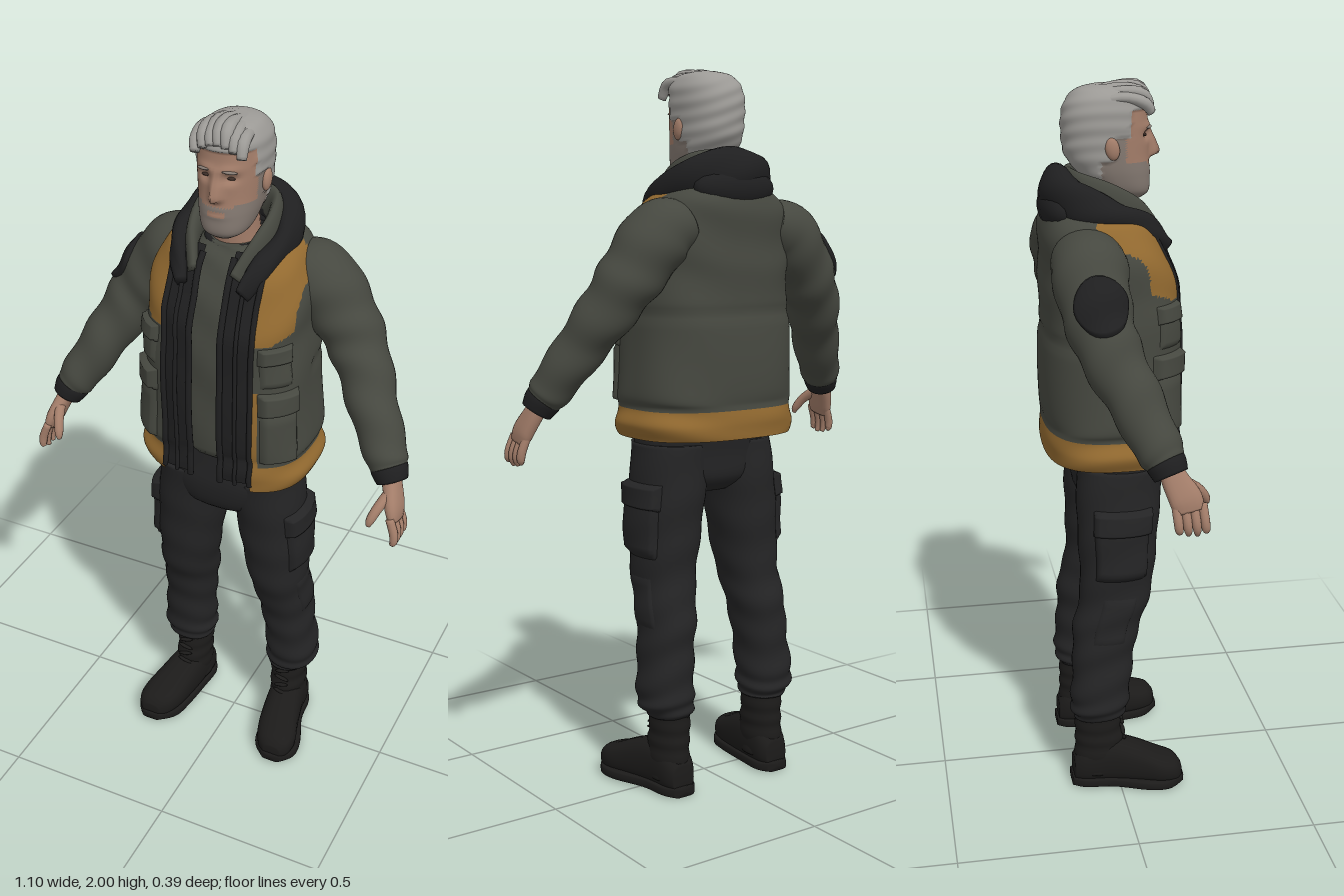
import * as THREE from 'three';
import { mergeVertices } from 'three/addons/utils/BufferGeometryUtils.js';

const mat = (name, color, side = THREE.FrontSide) => {
  const m = new THREE.MeshStandardMaterial({ color, side });
  m.name = name;
  return m;
};
const M = {
  skin: mat('skin', 0xa47e6a), hair: mat('grey hair', 0x9c9a96), beard: mat('stubble', 0x857a72),
  olive: mat('olive cloth', 0x464840, THREE.DoubleSide), gold: mat('ochre cloth', 0x936a30, THREE.DoubleSide),
  black: mat('black cloth', 0x1f1f20, THREE.DoubleSide), pants: mat('charcoal cloth', 0x242425),
  boot: mat('boot leather', 0x1c1b1a), dark: mat('dark brown', 0x3a2c26),
};
const V = (x, y, z) => new THREE.Vector3(x, y, z);
const clamp = THREE.MathUtils.clamp;
const TAU = Math.PI * 2, UP = V(0, 1, 0), FWD = V(0, 0, 1);
const pw = (v, n) => Math.sign(v) * Math.abs(v) ** (2 / n);
const bell = (v, w) => Math.exp(-((v / w) ** 2));

// Surface through cross-sections [x, y, z, halfWidth, halfDepth]
function surf(rows, { n = 2, axis = null, ref = FWD, fold = null, warp = null } = {}) {
  const row = (t) => {
    const s = clamp(t, 0, 1) * (rows.length - 1), i = Math.min(Math.floor(s), rows.length - 2), f = s - i;
    const r = (k) => rows[clamp(k, 0, rows.length - 1)];
    return rows[0].map((_, c) => {
      const [a, b, d, e] = [r(i - 1)[c], r(i)[c], r(i + 1)[c], r(i + 2)[c]];
      return b + 0.5 * f * (d - a + f * (2 * a - 5 * b + 4 * d - e + f * (3 * (b - d) + e - a)));
    });
  };
  const S = (u, t, off = 0, k = 1) => {
    const [x, y, z, ra, rb] = row(t), lo = row(t - 0.01), hi = row(t + 0.01);
    const T = axis ? axis.clone() : V(hi[0] - lo[0], hi[1] - lo[1], hi[2] - lo[2]).normalize();
    const e2 = ref.clone().addScaledVector(T, -ref.dot(T)).normalize();
    const e1 = T.clone().cross(e2);
    const o = off + (fold ? fold(u, t) : 0);
    const p = V(x, y, z).addScaledVector(e1, k * Math.max(ra + o, 0.001) * pw(Math.sin(u), n))
      .addScaledVector(e2, k * Math.max(rb + o, 0.001) * pw(Math.cos(u), n));
    if (warp) warp(p);
    return p;
  };
  S.row = row;
  S.at = (y) => { // parameter at a given height, for rising surfaces
    let a = 0, b = 1;
    for (let i = 0; i < 24; i++) { const m = (a + b) / 2; if (row(m)[1] < y) a = m; else b = m; }
    return a;
  };
  S.n = n;
  return S;
}

// Grid over f(a, b), both 0..1
function sheet(f, nu, nt) {
  const pos = [], idx = [];
  for (let j = 0; j <= nt; j++) for (let i = 0; i <= nu; i++) pos.push(...f(i / nu, j / nt, j).toArray());
  for (let j = 0; j < nt; j++) for (let i = 0; i < nu; i++) {
    const a = j * (nu + 1) + i, b = a + nu + 1;
    idx.push(a, a + 1, b + 1, a, b + 1, b);
  }
  let g = new THREE.BufferGeometry();
  g.setAttribute('position', new THREE.Float32BufferAttribute(pos, 3));
  g.setIndex(idx);
  g = mergeVertices(g, 1e-5);
  g.computeVertexNormals();
  return g;
}
const loft = (S, nu = 24, nt = 20) => sheet((a, b, j) =>
  S((a % 1) * TAU, (j - 1) / (nt - 2), 0, j === 0 || j === nt ? 0 : 1), nu, nt);
// Puffed panel lying on a surface
const panel = (S, u0, u1, t0, t1, off) => sheet((a, b) => {
  const edge = Math.min(1, 8 * Math.min(a, 1 - a, b, 1 - b));
  return S(u0 + a * (u1 - u0), t0 + b * (t1 - t0), -0.003 + (off + 0.003) * edge);
}, 16, 16);

// Sorts faces into material groups by a rule on their centres
function paint(g, rule, count) {
  const p = g.attributes.position, src = g.index.array, bins = Array.from({ length: count }, () => []);
  for (let i = 0; i < src.length; i += 3) {
    const c = V(0, 0, 0);
    for (let k = 0; k < 3; k++) c.add(V(0, 0, 0).fromBufferAttribute(p, src[i + k]));
    bins[rule(c.divideScalar(3))].push(src[i], src[i + 1], src[i + 2]);
  }
  g.setIndex(bins.flat());
  let start = 0;
  bins.forEach((b, k) => { g.addGroup(start, b.length, k); start += b.length; });
  return g;
}

export function createModel() {
  const root = new THREE.Group();
  root.name = 'man';
  const add = (name, geo, material) => {
    const m = new THREE.Mesh(geo, material);
    m.name = name;
    root.add(m);
    return m;
  };
  const ball = (name, material, p, s) => {
    const m = add(name, new THREE.SphereGeometry(1, 20, 14), material);
    m.position.set(...p); m.scale.set(...s);
    return m;
  };

  // Head with face relief, stubble and hair
  const isHair = (p) => p.y > 1.93 || (p.y > 1.86 ? p.z < 0.045 : p.y > 1.8 ? p.z < 0 : p.y > 1.745 && p.z < -0.03);
  const head = surf([[0, 1.695, 0.058, 0.03, 0.03], [0, 1.715, 0.042, 0.06, 0.066], [0, 1.76, 0.017, 0.076, 0.092],
    [0, 1.81, -0.002, 0.083, 0.108], [0, 1.86, -0.006, 0.086, 0.112], [0, 1.91, -0.008, 0.087, 0.11],
    [0, 1.95, -0.004, 0.081, 0.102], [0, 1.978, 0, 0.062, 0.078], [0, 1.99, 0.004, 0.03, 0.04]], {
    n: 2.3, axis: UP, warp: (p) => {
      if (isHair(p)) {
        const k = 1 + 0.06 + 0.012 * Math.sin(p.y * 160 + p.x * 60);
        p.x *= k; p.z *= k;
      } else if (p.z > 0.03) {
        const { x, y } = p, ax = Math.abs(x);
        if (y < 1.89) p.z += 0.032 * bell(x, 0.014) * (y > 1.81 ? clamp((1.89 - y) / 0.07, 0, 1) : bell(y - 1.81, 0.009));
        p.z += 0.006 * bell(y - 1.885, 0.01) * bell(ax - 0.03, 0.03) - 0.013 * bell(y - 1.862, 0.012) * bell(ax - 0.034, 0.018);
        p.z += 0.005 * bell(y - 1.768, 0.012) * bell(x, 0.03) - 0.006 * bell(y - 1.769, 0.004) * bell(x, 0.025);
      }
    } });
  add('head', paint(loft(head, 72, 70), (p) => {
    if (isHair(p)) return 1;
    const lips = Math.abs(p.x) < 0.024 && Math.abs(p.y - 1.768) < 0.007;
    const stubble = p.y < 1.787 || (Math.abs(p.x) > 0.045 && p.y < 1.795) || (p.z < 0.035 && p.y < 1.86);
    return stubble && !lips ? 2 : 0;
  }, 3), [M.skin, M.hair, M.beard]);
  add('neck', loft(surf([[0, 1.6, -0.03, 0.072, 0.075], [0, 1.68, -0.015, 0.062, 0.068], [0, 1.78, 0, 0.06, 0.066]], { axis: UP })), M.skin);
  for (let i = -3; i <= 3; i++) {
    const x = i * 0.021, d = x * x * 6, w = 0.006 * (i % 2);
    add('hairLock', loft(surf([[x + 0.006, 1.945 - d, 0.104, 0.012, 0.012], [x, 1.977 - d + w, 0.082, 0.018, 0.016],
      [x * 0.95 - 0.008, 1.985 - d, 0.02, 0.018, 0.014], [x * 0.9, 1.962 - d, -0.055, 0.016, 0.014],
      [x * 0.8, 1.92 - d, -0.1, 0.01, 0.012]], { ref: UP }), 12, 16), M.hair);
  }
  for (const s of [-1, 1]) {
    ball('ear', M.skin, [s * 0.088, 1.835, -0.004], [0.012, 0.03, 0.019]).rotation.x = -0.2;
    ball('eye', M.dark, [s * 0.034, 1.862, 0.09], [0.012, 0.004, 0.006]);
    ball('eyebrow', M.beard, [s * 0.036, 1.882, 0.102], [0.02, 0.004, 0.006]).rotation.set(0, s * 0.35, -s * 0.08);
  }

  // Shirt and its neckband
  add('shirt', loft(surf([[0, 1.06, 0, 0.17, 0.142], [0, 1.25, 0, 0.17, 0.15], [0, 1.42, 0, 0.165, 0.15],
    [0, 1.55, -0.01, 0.155, 0.138], [0, 1.63, -0.02, 0.115, 0.11], [0, 1.665, -0.02, 0.07, 0.082]],
  { n: 2.4, axis: UP, fold: (u, t) => 0.003 * Math.sin(t * 26 + 2 * Math.sin(3 * u)) }), 40, 36), M.olive);
  const band = add('shirtNeckband', new THREE.TorusGeometry(0.075, 0.01, 10, 32), M.black);
  band.position.set(0, 1.662, -0.018);
  band.rotation.x = Math.PI / 2 + 0.1;

  // Open jacket: outer shell, black lining, zips and pockets
  const coat = surf([[0, 1.0, 0, 0.24, 0.184], [0, 1.04, 0, 0.25, 0.192], [0, 1.085, 0, 0.238, 0.184], [0, 1.13, 0, 0.243, 0.192],
    [0, 1.3, 0, 0.234, 0.189], [0, 1.42, 0, 0.225, 0.187], [0, 1.5, -0.008, 0.224, 0.179], [0, 1.58, -0.024, 0.216, 0.163],
    [0, 1.64, -0.04, 0.185, 0.145], [0, 1.68, -0.05, 0.135, 0.12], [0, 1.71, -0.05, 0.09, 0.1]], {
    n: 2.7, axis: UP,
    fold: (u, t) => 0.0025 * Math.sin(t * 34 + 2 * Math.sin(2 * u + 1)) - 0.005 * bell(t - 0.43, 0.012) * (Math.cos(u) < 0 ? 1 : 0) });
  const openAt = (t, gap) => Math.asin(Math.min(0.95, gap / coat.row(t)[3]) ** (coat.n / 2));
  const shell = (gap, off, t0, t1) => sheet((a, b) => {
    const t = t0 + b * (t1 - t0), u0 = openAt(t, gap);
    return coat(u0 + a * (TAU - 2 * u0), t, off);
  }, 110, 90);
  add('jacket', paint(shell(0.128, 0, 0, 1), (p) => {
    const ax = Math.abs(p.x);
    const hem = p.y < 1.08, yoke = p.y > 1.45 + Math.max(0, ax - 0.17) * 0.6 && p.y < 1.66 && ax < 0.212 && p.z > -0.06;
    const strip = p.x > 0 && p.x < 0.148 && p.y < 1.32 && p.z > 0;
    return hem || yoke || strip ? 1 : 0;
  }, 2), [M.olive, M.gold]);
  add('jacketLining', shell(0.045, -0.007, 0.06, 0.85), M.black);
  for (const s of [-1, 1]) {
    for (const [gap, r] of [[0.045, 0.009], [0.088, 0.006], [0.128, 0.008]]) {
      const pts = [];
      for (let i = 0; i <= 14; i++) { const t = 0.05 + i * 0.055; pts.push(coat(s * openAt(t, gap), t, -0.003)); }
      add('zipEdge', new THREE.TubeGeometry(new THREE.CatmullRomCurve3(pts), 50, r, 8), M.black);
    }
    const side = (y0, y1, off, name, u0 = 0.56, u1 = 1.22) => add(name,
      panel(coat, s > 0 ? u0 : -u1, s > 0 ? u1 : -u0, coat.at(y0), coat.at(y1), off), M.olive);
    side(1.095, 1.27, 0.011, 'lowerPocket');
    side(1.245, 1.315, 0.019, 'lowerPocketFlap', 0.54, 1.25);
    side(1.325, 1.43, 0.007, 'chestPocket', 0.58, 1.15);
    side(1.395, 1.445, 0.014, 'chestPocketFlap', 0.56, 1.18);
  }

  // Hood lying round the neck
  const arch = (half) => [...half, ...half.slice(0, -1).reverse().map(([x, ...r]) => [-x, ...r])];
  add('hood', loft(surf(arch([[0.085, 1.575, 0.14, 0.014, 0.025], [0.118, 1.635, 0.075, 0.028, 0.036], [0.134, 1.668, -0.02, 0.034, 0.046],
    [0.1, 1.7, -0.105, 0.042, 0.06], [0, 1.716, -0.138, 0.048, 0.068]]),
  { ref: UP, fold: (u, t) => 0.003 * Math.sin(3 * u + t * 30) }), 24, 60), M.black);
  add('hoodLining', loft(surf(arch([[0.062, 1.6, 0.115, 0.014, 0.03], [0.092, 1.665, 0.055, 0.018, 0.04], [0.1, 1.7, -0.02, 0.02, 0.05],
    [0.075, 1.722, -0.085, 0.02, 0.052], [0, 1.73, -0.108, 0.02, 0.05]]), { ref: UP }), 18, 50), M.olive);
  ball('hoodDrape', M.black, [0, 1.675, -0.135], [0.13, 0.062, 0.055]);

  // Sleeves, cuffs and hands
  for (const s of [-1, 1]) {
    const mir = (rows) => rows.map(([x, ...r]) => [s * x, ...r]);
    const sleeve = surf(mir([[0.15, 1.575, -0.08, 0.075, 0.09], [0.212, 1.55, -0.085, 0.092, 0.1], [0.283, 1.46, -0.078, 0.087, 0.092],
      [0.342, 1.37, -0.055, 0.076, 0.082], [0.403, 1.26, -0.002, 0.066, 0.072], [0.465, 1.15, 0.048, 0.057, 0.062],
      [0.483, 1.12, 0.062, 0.048, 0.052]]), {
      fold: (u, t) => 0.004 * Math.sin(t * 38 + 2 * Math.sin(u + 0.5)) * Math.sin(t * Math.PI) });
    add('sleeve', loft(sleeve, 36, 56), M.olive);
    add('cuff', loft(surf(mir([[0.472, 1.135, 0.054, 0.046, 0.049], [0.484, 1.115, 0.064, 0.05, 0.052], [0.497, 1.088, 0.074, 0.042, 0.045]])), 24, 10), M.black);
    if (s < 0) add('armPatch', sheet((a, b) => {
      const r = 1 - b, w = (a % 1) * TAU;
      return sleeve(Math.PI / 2 + 0.85 * r * Math.cos(w), 0.36 + 0.115 * r * Math.sin(w), r > 0.95 ? -0.004 : 0.009);
    }, 32, 12), M.black);
    add('palm', loft(surf(mir([[0.49, 1.105, 0.07, 0.024, 0.03], [0.505, 1.07, 0.087, 0.022, 0.037],
      [0.52, 1.03, 0.108, 0.02, 0.043], [0.528, 1.0, 0.115, 0.013, 0.038]]), { n: 2.4 }), 20, 14), M.skin);
    for (let k = 0; k < 4; k++) {
      const z = 0.081 + k * 0.023, end = 0.934 + 0.009 * Math.abs(k - 1.6);
      add('finger', loft(surf(mir([[0.522, 1.02, z, 0.011, 0.012], [0.537, 0.98, z + 0.004, 0.012, 0.012],
        [0.539, 0.955, z + 0.007, 0.0105, 0.011], [0.533, end, z + 0.009, 0.006, 0.006]])), 12, 12), M.skin);
    }
    add('thumb', loft(surf(mir([[0.505, 1.075, 0.1, 0.016, 0.016], [0.487, 1.045, 0.145, 0.014, 0.014],
      [0.475, 1.015, 0.168, 0.012, 0.012], [0.472, 0.998, 0.174, 0.006, 0.006]]), { ref: UP }), 12, 12), M.skin);

    // Trouser leg, cargo pocket and boot
    const leg = surf(mir([[0.163, 0.22, -0.06, 0.055, 0.066], [0.172, 0.25, -0.058, 0.074, 0.08], [0.174, 0.3, -0.054, 0.076, 0.084],
      [0.166, 0.4, -0.045, 0.073, 0.086], [0.156, 0.5, -0.034, 0.077, 0.094], [0.146, 0.6, -0.006, 0.082, 0.1],
      [0.135, 0.72, 0.002, 0.092, 0.108], [0.122, 0.85, 0.006, 0.098, 0.116], [0.105, 0.98, 0.015, 0.1, 0.12]]), {
      n: 2.2, axis: UP, fold: (u, t) => 0.004 * Math.sin(t * 48 + 2.5 * Math.sin(u + s)) * (1 - 0.7 * t) });
    add('trouserLeg', loft(leg, 36, 64), M.pants);
    const cargo = (y0, y1, off, w, name) => add(name, panel(leg, s * Math.PI / 2 - w, s * Math.PI / 2 + w, leg.at(y0), leg.at(y1), off), M.pants);
    cargo(0.665, 0.86, 0.016, 0.72, 'cargoPocket');
    cargo(0.8, 0.875, 0.022, 0.76, 'cargoPocketFlap');
    cargo(0.47, 0.62, 0.004, 0.5, 'kneePanel').name = 'sidePanel';
    add('bootShaft', loft(surf(mir([[0.166, 0.04, -0.06, 0.052, 0.07], [0.165, 0.12, -0.055, 0.053, 0.072], [0.163, 0.19, -0.06, 0.053, 0.066],
      [0.164, 0.27, -0.06, 0.057, 0.068]]), { axis: UP, fold: (u, t) => 0.002 * Math.sin(t * 30) }), 24, 24), M.boot);
    add('bootFoot', loft(surf(mir([[0.165, 0.05, -0.132, 0.034, 0.038], [0.165, 0.065, -0.1, 0.05, 0.06], [0.17, 0.075, -0.03, 0.055, 0.07],
      [0.184, 0.065, 0.05, 0.06, 0.06], [0.199, 0.053, 0.115, 0.063, 0.045], [0.206, 0.046, 0.158, 0.05, 0.037],
      [0.209, 0.038, 0.178, 0.026, 0.022]]), { n: 2.5, axis: FWD, ref: UP }), 24, 28), M.boot);
    add('bootSole', loft(surf(mir([[0.165, 0.015, -0.138, 0.032, 0.015], [0.165, 0.015, -0.1, 0.053, 0.015], [0.172, 0.015, -0.02, 0.056, 0.015],
      [0.195, 0.015, 0.08, 0.07, 0.015], [0.203, 0.016, 0.14, 0.064, 0.015], [0.208, 0.02, 0.183, 0.028, 0.013]]),
    { n: 5, axis: FWD, ref: UP }), 24, 24), M.boot);
    for (let i = 0; i < 5; i++) ball('lace', M.boot, [s * 0.167, 0.135 + i * 0.026, 0.016 - i * 0.003], [0.024, 0.005, 0.007]).rotation.z = 0.25 * (i % 2 ? 1 : -1);
  }

  // Seat of the trousers
  add('trouserSeat', loft(surf([[0, 0.84, 0.01, 0.07, 0.07], [0, 0.88, 0.012, 0.16, 0.112], [0, 0.95, 0.018, 0.2, 0.124],
    [0, 1.02, 0.012, 0.2, 0.128], [0, 1.09, 0.01, 0.19, 0.128]], { n: 2.4, axis: UP }), 36, 20), M.pants);
  return root;
}
